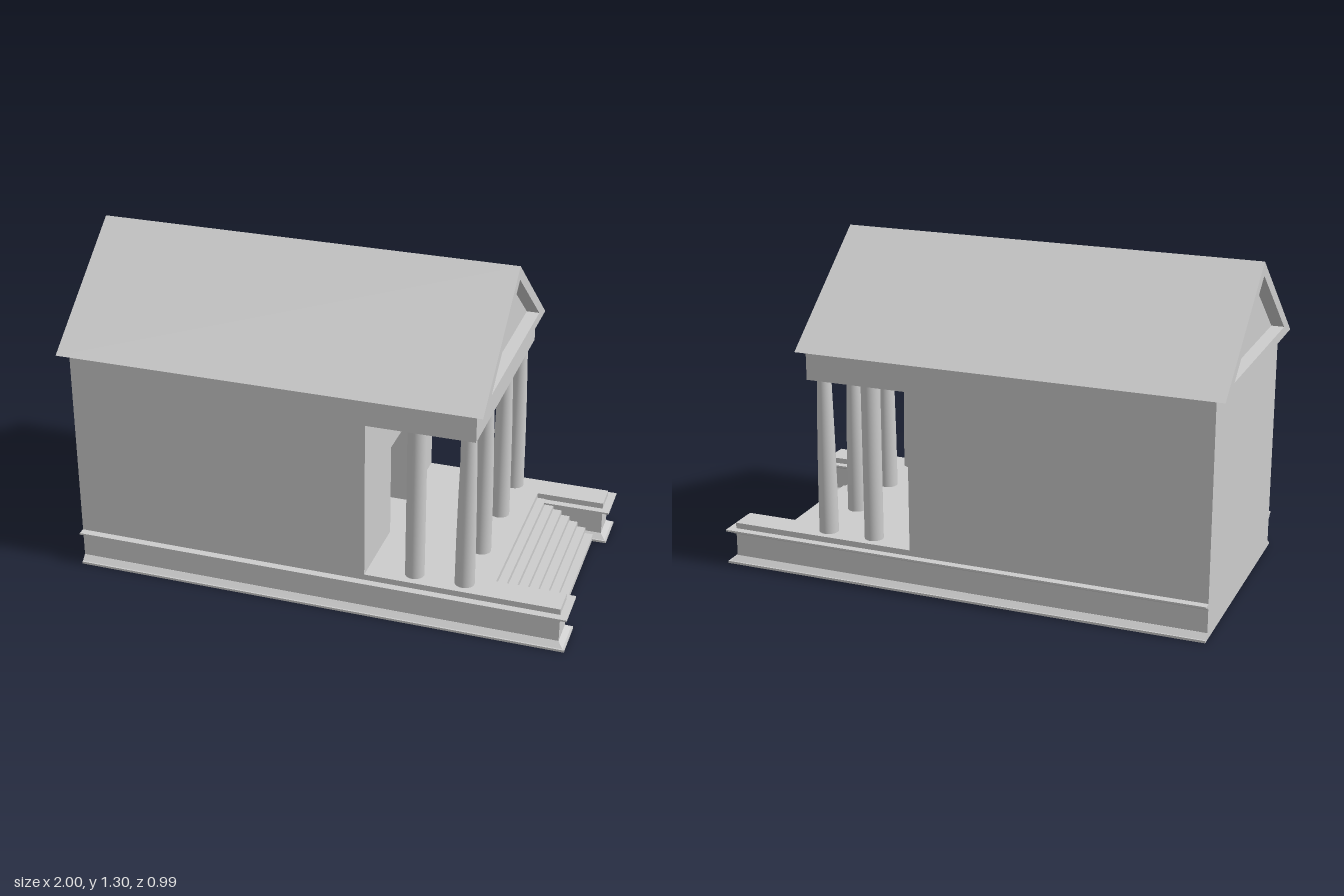
import * as THREE from 'three';

const stone = new THREE.MeshStandardMaterial({ color: 0xcccccc });
stone.name = 'pale stone';

const FLOOR = 0.166, BEAM = 0.8, EAVES = 0.915, BACK = -0.96;

export function createModel() {
  const model = new THREE.Group();
  model.name = 'temple';

  const add = (name, geometry) => {
    const mesh = new THREE.Mesh(geometry, stone);
    mesh.name = name;
    model.add(mesh);
    return mesh;
  };

  // Box given by its limits
  const box = (name, x0, x1, y0, y1, z0, z1) => {
    const g = new THREE.BoxGeometry(x1 - x0, y1 - y0, z1 - z0);
    g.translate((x0 + x1) / 2, (y0 + y1) / 2, (z0 + z1) / 2);
    return add(name, g);
  };

  // Box whose top (dir 1) or bottom (dir -1) is drawn in on every side but the back
  const flare = (name, x0, x1, y0, y1, z0, z1, inset, dir) => {
    const mesh = box(name, x0, x1, y0, y1, z0, z1);
    const p = mesh.geometry.attributes.position;
    const midY = (y0 + y1) / 2, midX = (x0 + x1) / 2, midZ = (z0 + z1) / 2;
    for (let i = 0; i < p.count; i++) {
      if ((p.getY(i) - midY) * dir < 0) continue;
      if (p.getX(i) > midX) p.setX(i, p.getX(i) - inset);
      p.setZ(i, p.getZ(i) + (p.getZ(i) > midZ ? -inset : inset));
    }
    mesh.geometry = mesh.geometry.toNonIndexed();
    mesh.geometry.computeVertexNormals();
    return mesh;
  };

  // Shape in the z-y plane extruded along x
  const alongX = (name, shape, x0, x1) => {
    const g = new THREE.ExtrudeGeometry(shape, { depth: x1 - x0, bevelEnabled: false });
    g.rotateY(Math.PI / 2);
    g.translate(x0, 0, 0);
    return add(name, g);
  };

  const triangle = (half, y0, y1) => [
    new THREE.Vector2(-half, y0), new THREE.Vector2(half, y0), new THREE.Vector2(0, y1),
  ];

  // Podium with moulded side wings reaching past the stairs
  box('podium', BACK, 0.7, 0, FLOOR, -0.35, 0.35);
  for (const s of [-1, 1]) {
    const span = (a, b) => (s > 0 ? [a, b] : [-b, -a]);
    const inner = span(0.35, 0.462), outer = span(0.322, 0.49);
    box('podiumWing', BACK, 0.97, 0, FLOOR, ...inner);
    box('wingPlinth', BACK, 0.997, 0, 0.009, ...outer);
    flare('wingBaseMoulding', BACK, 0.99, 0.009, 0.028, ...span(0.329, 0.483), 0.02, 1);
    flare('wingCorniceMoulding', BACK, 0.99, 0.122, 0.136, ...span(0.33, 0.482), 0.014, -1);
    box('wingCornice', BACK, 1, 0.136, 0.143, ...span(0.32, 0.493));
  }

  // Stairs between the wings
  const treads = 7;
  for (let i = 0; i < treads; i++) {
    const rise = FLOOR / (treads + 1);
    box('step', 0.7, 0.94 - (i * 0.24) / treads, i * rise, (i + 1) * rise, -0.35, 0.35);
  }

  // Chamber, with a doorway cut into its front wall
  box('chamber', BACK, 0.015, FLOOR, BEAM, -0.462, 0.462);
  const wall = new THREE.Shape([
    [-0.462, FLOOR], [-0.13, FLOOR], [-0.13, 0.543], [0.13, 0.543],
    [0.13, FLOOR], [0.462, FLOOR], [0.462, BEAM], [-0.462, BEAM],
  ].map(([z, y]) => new THREE.Vector2(z, y)));
  alongX('doorwayWall', wall, 0.015, 0.215);
  box('entablature', BACK, 0.63, BEAM, EAVES, -0.462, 0.462);

  // Tapered front columns and straight side columns
  const H = BEAM - FLOOR;
  const frontProfile = [[0.038, 0], [0.037, 0.3], [0.034, 0.6], [0.0275, 1]]
    .map(([r, t]) => new THREE.Vector2(r, FLOOR + t * H));
  for (const z of [-0.397, -0.147, 0.147, 0.397]) {
    add('frontColumn', new THREE.LatheGeometry(frontProfile, 32)).position.set(0.59, 0, z);
  }
  for (const z of [-0.397, 0.397]) {
    add('sideColumn', new THREE.CylinderGeometry(0.037, 0.037, H, 32, 1, true))
      .position.set(0.395, FLOOR + H / 2, z);
  }

  // Gabled roof with sunken triangular panels at both ends
  const gable = new THREE.Shape(triangle(0.495, EAVES, 1.3));
  gable.holes.push(new THREE.Path(triangle(0.38, 0.955, 1.247)));
  alongX('roof', gable, -1, 0.66);
  alongX('gablePanel', new THREE.Shape(triangle(0.38, 0.955, 1.247)), -0.95, 0.61);

  return model;
}
